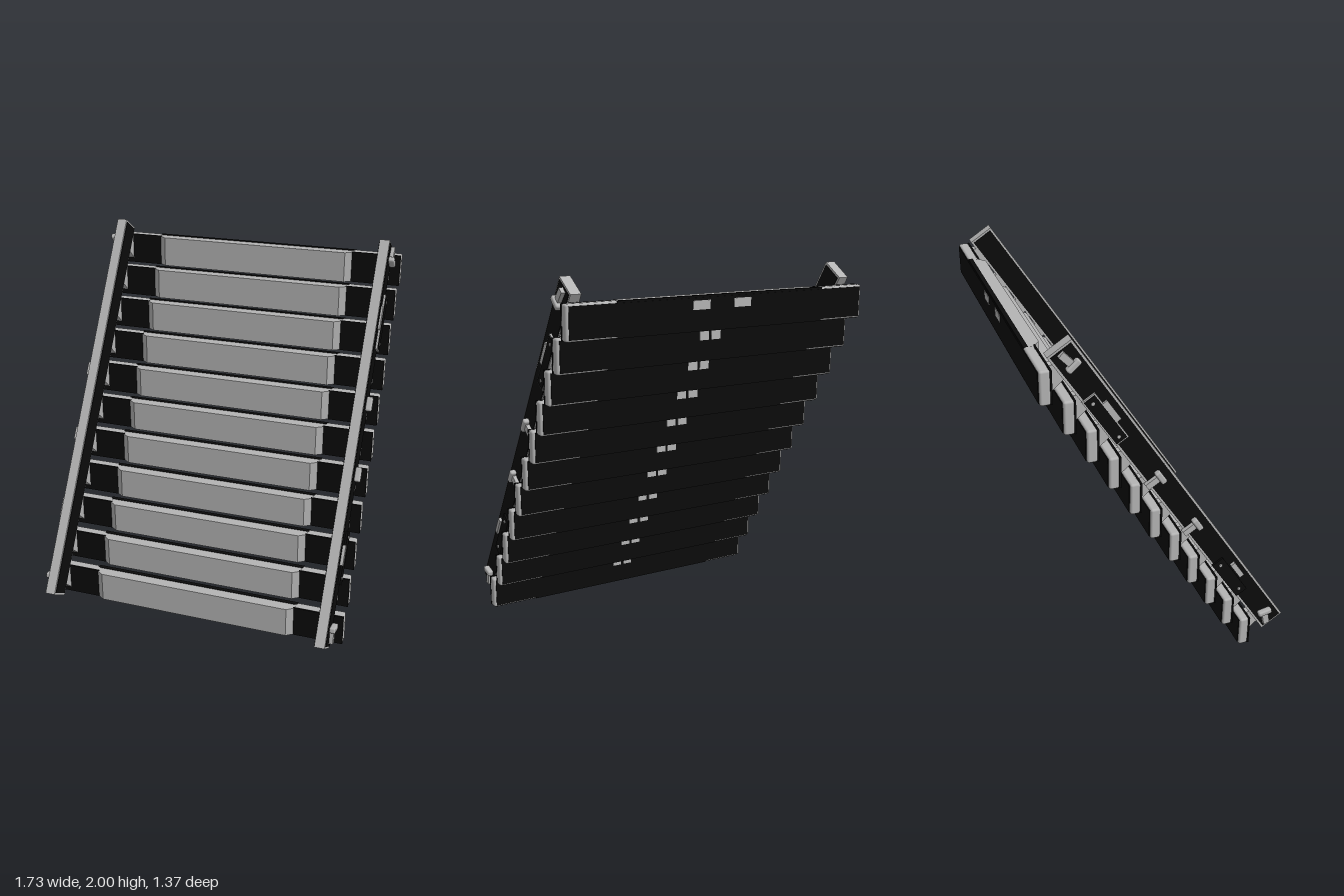
import * as THREE from 'three';
import { RoundedBoxGeometry } from 'three/addons/geometries/RoundedBoxGeometry.js';

const grey = new THREE.MeshStandardMaterial({ color: 0xb4b4b4 });
grey.name = 'grey';
const black = new THREE.MeshStandardMaterial({ color: 0x0b0b0b });
black.name = 'black';

function add(parent, name, geometry, material, x = 0, y = 0, z = 0) {
  const mesh = new THREE.Mesh(geometry, material);
  mesh.name = name;
  mesh.position.set(x, y, z);
  parent.add(mesh);
  return mesh;
}
const box = (w, h, d) => new THREE.BoxGeometry(w, h, d);

const H = 0.176; // slat height

// Thick middle of a slat, tapering toward both ends in plan
function middleGeometry() {
  const s = new THREE.Shape([
    [-0.6, 0.022], [0.6, 0.022], [0.6, 0.05], [0.55, 0.086], [-0.55, 0.086], [-0.6, 0.05],
  ].map(([x, z]) => new THREE.Vector2(x, -z)));
  const g = new THREE.ExtrudeGeometry(s, { depth: H - 0.006, bevelEnabled: false });
  g.rotateX(-Math.PI / 2);
  return g;
}

// Curved bracket between a slat end and the sloping rail
function bracketGeometry() {
  const s = new THREE.Shape();
  s.moveTo(0.05, 0.17);
  s.lineTo(0.05, 0.02);
  s.quadraticCurveTo(0.085, 0.05, 0.13, 0.09);
  s.lineTo(0.083, 0.17);
  const g = new THREE.ExtrudeGeometry(s, { depth: 0.04, bevelEnabled: false });
  g.translate(0, 0, -0.02);
  g.rotateY(-Math.PI / 2);
  return g;
}

const middle = middleGeometry();
const bracket = bracketGeometry();
const endBlock = new RoundedBoxGeometry(0.28, H, 0.052, 2, 0.012);

// One slat; its back face lies at local z = 0
function makeSlat(isTop) {
  const slat = new THREE.Group();
  slat.name = 'slat';
  add(slat, 'slatBack', box(1.2, H, 0.023), black, 0, H / 2, 0.0115);
  add(slat, 'slatMiddle', middle, grey, 0, 0.003, 0);
  add(slat, 'slatRearPanel', box(1.7, H - 0.02, 0.006), black, 0, H / 2, -0.001);
  add(slat, 'slatUnderside', box(1.7, 0.004, 0.04), black, 0, 0.002, 0.026);
  for (const side of [-1, 1]) {
    add(slat, 'slatEnd', endBlock, grey, side * 0.725, H / 2, 0.026);
    add(slat, 'endFrontPanel', box(0.282, H - 0.002, 0.009), black, side * 0.722, H / 2, 0.0555);
    add(slat, 'railBracket', bracket, grey, side * 0.785, 0, 0);
    const x = isTop ? 0.12 : 0.035;
    add(slat, 'rearPlate', box(isTop ? 0.1 : 0.055, 0.045, 0.004), grey, side * x + 0.02, 0.13, -0.005);
  }
  return slat;
}

// T-shaped clamp on the outside of a rail
function makeClamp(v, w, turn) {
  const clamp = new THREE.Group();
  clamp.name = 'clamp';
  clamp.position.set(0.035, v, w);
  clamp.rotation.x = turn;
  add(clamp, 'clampStem', box(0.025, 0.035, 0.08), grey, 0.005, 0, -0.02);
  add(clamp, 'clampHead', new RoundedBoxGeometry(0.035, 0.08, 0.032, 2, 0.01), grey, 0.012, 0, 0.025);
  return clamp;
}

// Sloping rail; local y runs along it, local +x is its outer side
function makeRail(side) {
  const rail = new THREE.Group();
  rail.name = 'rail';
  const length = 2.236, depth = 0.139;
  add(rail, 'railBeam', box(0.056, length, depth), grey);
  for (const s of [-1, 1]) {
    add(rail, 'railSidePanel', box(0.005, length - 0.022, depth - 0.022), black, s * 0.029);
  }
  for (const [v, w, turn] of [
    [1.04, 0, 1.4], [0.21, -0.02, 0], [-0.18, -0.02, 0], [-1.03, -0.01, -1.2],
  ]) {
    const clamp = makeClamp(v, w, turn);
    clamp.position.x *= side;
    rail.add(clamp);
    if (side < 0) clamp.children.forEach((c) => { c.position.x *= -1; });
  }
  // Upper latch: framed plate with two rivets and a grip
  const out = (name, g, m, x, v, w) => add(rail, name, g, m, side * x, v, w);
  out('latchFrame', box(0.012, 0.31, 0.076), grey, 0.036, 0.673, -0.033);
  out('latchPlate', box(0.006, 0.295, 0.062), black, 0.042, 0.673, -0.033);
  out('latchGrip', box(0.012, 0.13, 0.025), grey, 0.036, 0.69, 0.016);
  // Lower latch: dark plate with a narrow grip
  out('lowerPlate', box(0.012, 0.29, 0.07), black, 0.036, -0.633, -0.035);
  out('lowerGrip', box(0.02, 0.11, 0.028), grey, 0.038, -0.62, 0.022);
  for (const v of [0.79, 0.555, -0.52, -0.74]) {
    const rivet = out('rivet', new THREE.CylinderGeometry(0.009, 0.009, 0.008, 10), grey, 0.044, v, -0.033);
    rivet.rotation.z = Math.PI / 2;
  }
  rail.position.set(side * 0.786, 1.019, 0.0275);
  rail.rotation.x = -0.5635;
  return rail;
}

export function createModel() {
  const model = new THREE.Group();
  model.name = 'slattedStair';
  const count = 11;
  for (let i = 0; i < count; i++) {
    const slat = makeSlat(i === count - 1);
    slat.position.set(0, i * 0.1715, 0.402 - i * 0.1082);
    model.add(slat);
  }
  model.add(makeRail(1), makeRail(-1));
  return model;
}
